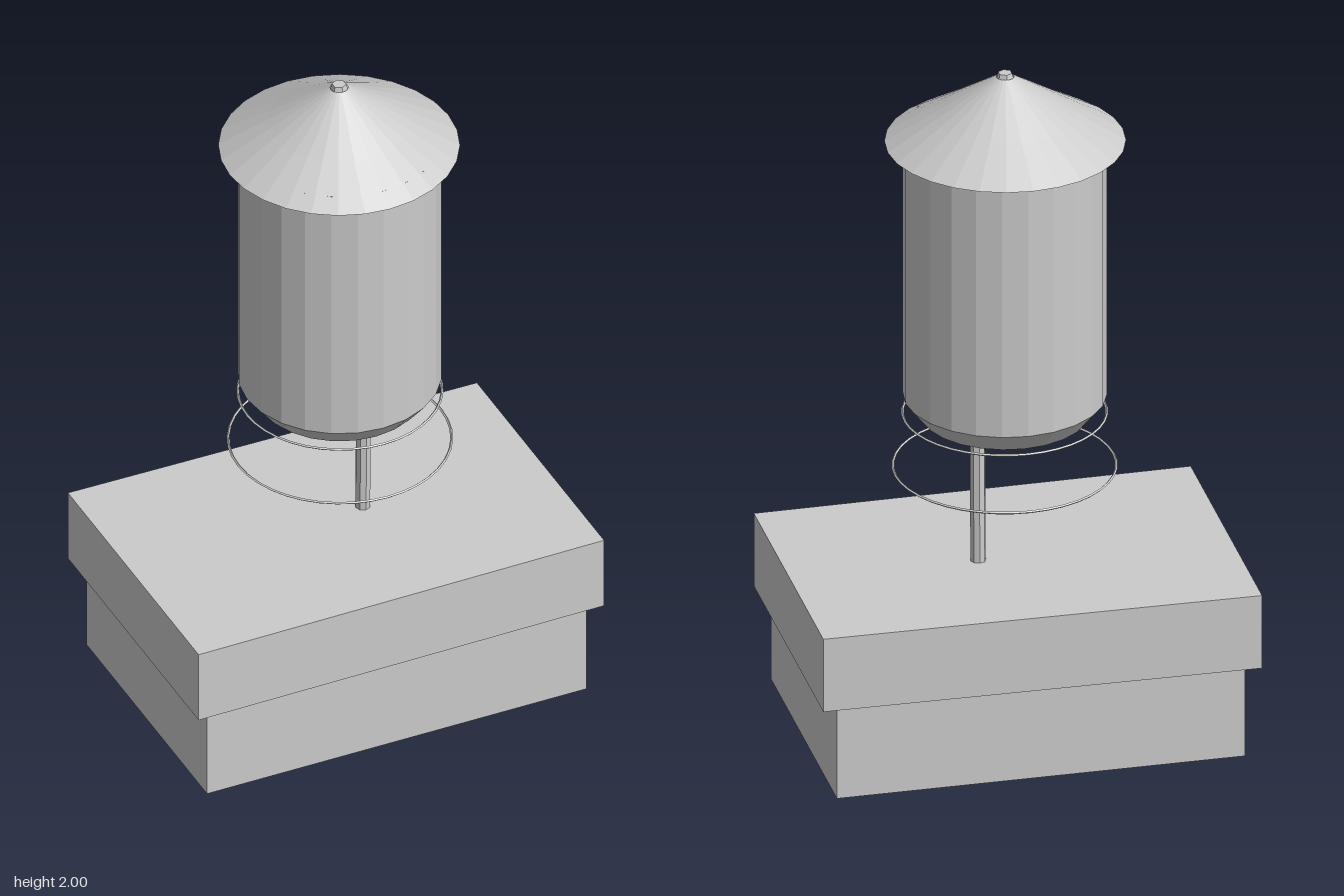
import * as THREE from 'three';

const material = new THREE.MeshStandardMaterial({ color: 0xcccccc, flatShading: true, side: THREE.DoubleSide });

function add(parent, name, geometry, x = 0, y = 0, z = 0) {
  const mesh = new THREE.Mesh(geometry, material);
  mesh.name = name;
  mesh.position.set(x, y, z);
  parent.add(mesh);
  return mesh;
}

// Horizontal sheet from a list of [x, z] corners, with an optional hole
function sheet(corners, hole) {
  const toPoints = (list) => list.map(([x, z]) => new THREE.Vector2(x, -z));
  const shape = new THREE.Shape(toPoints(corners));
  if (hole) shape.holes.push(new THREE.Path(toPoints(hole)));
  return new THREE.ShapeGeometry(shape).rotateX(-Math.PI / 2);
}

// Upright walls around a list of [x, z] corners
function walls(corners, y0, y1) {
  const positions = [];
  corners.forEach(([ax, az], i) => {
    const [bx, bz] = corners[(i + 1) % corners.length];
    positions.push(ax, y0, az, bx, y0, bz, bx, y1, bz, ax, y0, az, bx, y1, bz, ax, y1, az);
  });
  const geometry = new THREE.BufferGeometry();
  geometry.setAttribute('position', new THREE.Float32BufferAttribute(positions, 3));
  geometry.computeVertexNormals();
  return geometry;
}

function lathe(profile, sides) {
  return new THREE.LatheGeometry(profile.map(([r, y]) => new THREE.Vector2(r, y)), sides);
}

export function createModel() {
  const model = new THREE.Group();
  model.name = 'waterTower';

  // Hollow building, open underneath, with a wider slightly tapered upper storey
  const building = new THREE.Group();
  building.name = 'building';
  model.add(building);
  const lower = [[-0.59, 0.395], [0.58, 0.395], [0.58, -0.39], [-0.59, -0.39]];
  const upper = [[-0.63, 0.425], [0.625, 0.415], [0.625, -0.415], [-0.63, -0.428]];
  add(building, 'lowerWalls', walls(lower, 0, 0.285));
  add(building, 'upperWalls', walls(upper, 0.285, 0.51));
  add(building, 'overhang', sheet(upper, lower), 0, 0.285);
  add(building, 'flatRoof', sheet(upper), 0, 0.51);

  // Off-centre pipe, leaning slightly
  const pipePath = new THREE.LineCurve3(new THREE.Vector3(0.087, 0.51, -0.022), new THREE.Vector3(0.087, 0.95, -0.014));
  add(model, 'pipe', new THREE.TubeGeometry(pipePath, 1, 0.022, 8, false));

  // Thin hoops below the tank
  for (const [name, radius, y] of [['lowerHoop', 0.312, 0.785], ['upperHoop', 0.285, 0.95]]) {
    add(model, name, new THREE.TorusGeometry(radius, 0.004, 4, 40).rotateX(Math.PI / 2), 0.005, y, 0.003);
  }

  // Tank with a chamfered, closed bottom
  add(model, 'tank', lathe([[0, 0.943], [0.235, 0.943], [0.245, 0.955], [0.285, 1.005], [0.285, 1.82]], 24), 0.004, 0, 0.004);

  // Shallow conical roof and its small finial
  add(model, 'tankRoof', lathe([[0.337, 1.79], [0.2, 1.875], [0.025, 1.988]], 28), 0.004, 0, 0);
  add(model, 'finial', new THREE.CylinderGeometry(0.02, 0.026, 0.02, 6), 0.004, 1.99, 0);

  return model;
}
